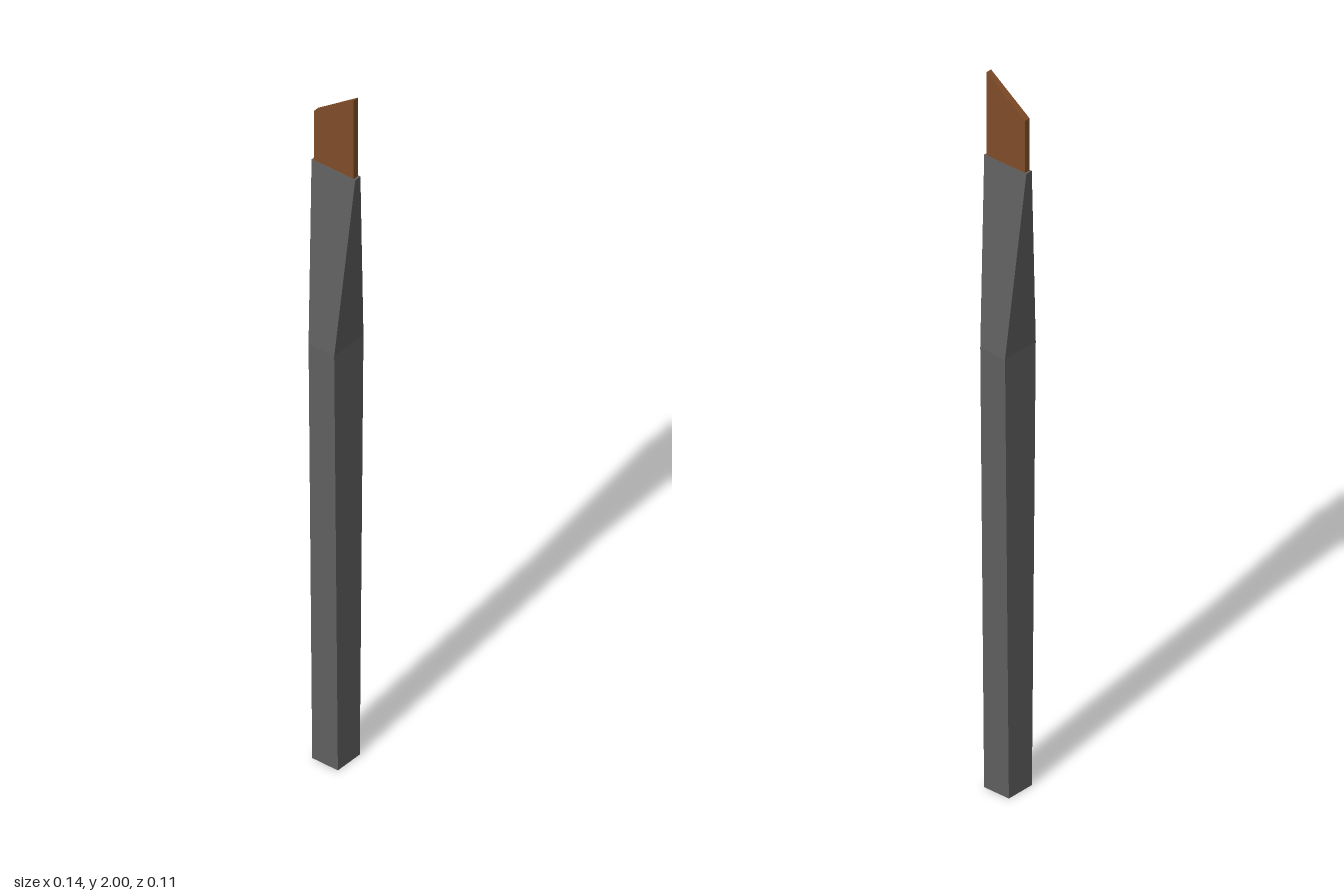
import * as THREE from 'three';

// Handle cross-sections from bottom to top: height, half width, half depth
const SECTIONS = [
  { y: 0, x: 0.04, z: 0.042 },
  { y: 1.25, x: 0.04, z: 0.056 },
  { y: 1.765, x: 0.068, z: 0.01 },
];

// Square bar whose rows of vertices are fitted to the cross-sections
function taperedBar(sections) {
  const rows = sections.length - 1;
  const geometry = new THREE.BoxGeometry(2, rows, 2, 1, rows, 1);
  const p = geometry.attributes.position;
  for (let i = 0; i < p.count; i++) {
    const s = sections[Math.round(p.getY(i) + rows / 2)];
    p.setXYZ(i, p.getX(i) * s.x, s.y, p.getZ(i) * s.z);
  }
  const flat = geometry.toNonIndexed();
  flat.computeVertexNormals();
  return flat;
}

// Thin plate with a slanted upper edge
function slantedBlade(halfWidth, bottom, lowTip, highTip, thickness) {
  const shape = new THREE.Shape([
    new THREE.Vector2(-halfWidth, bottom),
    new THREE.Vector2(halfWidth, bottom),
    new THREE.Vector2(halfWidth, highTip),
    new THREE.Vector2(-halfWidth, lowTip),
  ]);
  const geometry = new THREE.ExtrudeGeometry(shape, { depth: thickness, bevelEnabled: false });
  return geometry.translate(0, 0, -thickness / 2);
}

export function createModel() {
  const model = new THREE.Group();
  model.name = 'slantedBrush';

  const add = (name, geometry, color) => {
    const material = new THREE.MeshStandardMaterial({ color, flatShading: true });
    const mesh = new THREE.Mesh(geometry, material);
    mesh.name = name;
    model.add(mesh);
  };

  add('handle', taperedBar(SECTIONS), 0x606060);
  // The tip starts slightly inside the handle
  add('slantedTip', slantedBlade(0.062, 1.755, 1.912, 2, 0.017), 0x804c28);

  return model;
}
